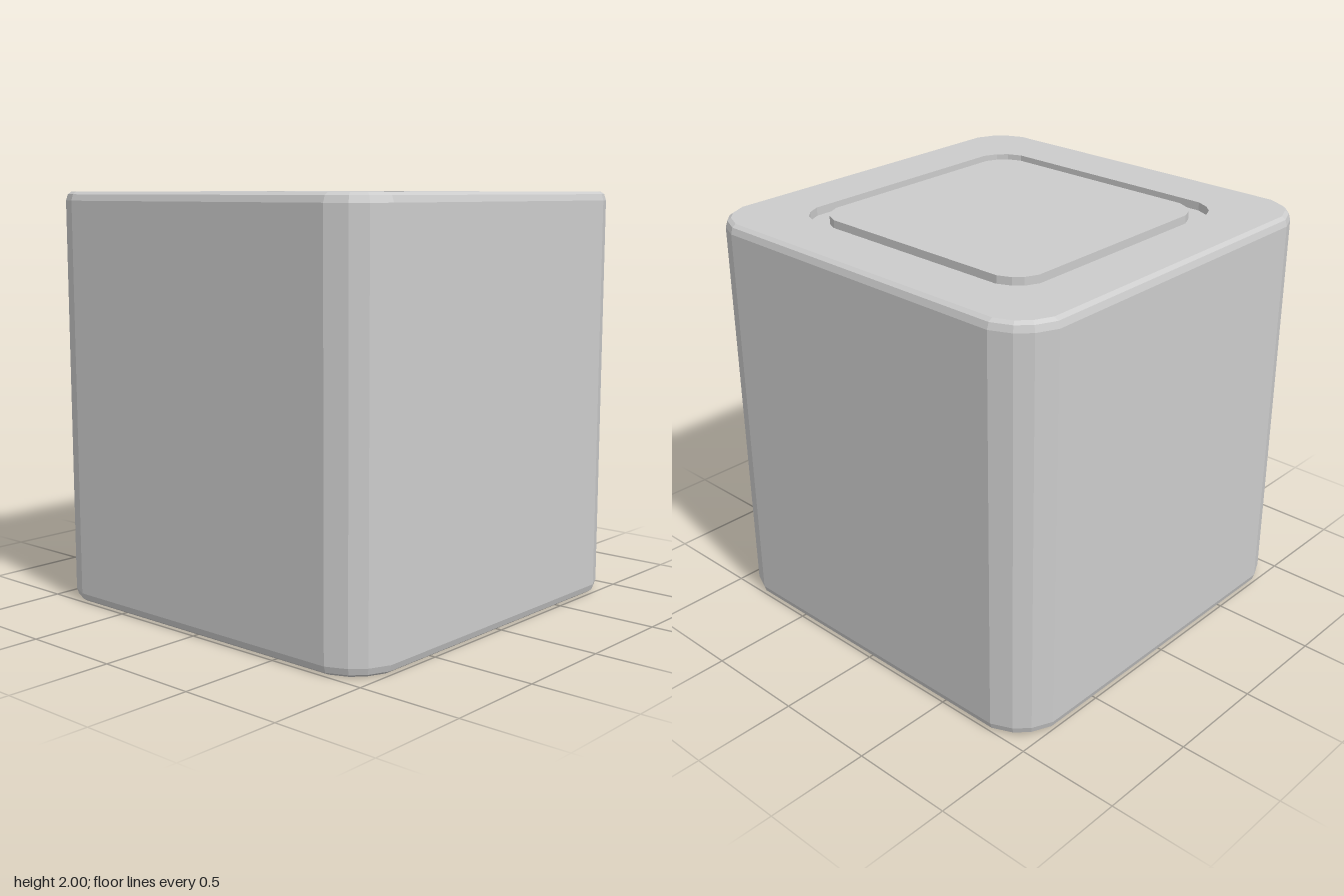
import * as THREE from 'three';

const material = new THREE.MeshStandardMaterial({ color: 0xcccccc, flatShading: true });

// Square ring with three-facet corners, counter-clockwise seen from above
function ring([half, radius, y]) {
  const c = half - radius;
  const corner = [[1, 0], [0.785, 0.485], [0.485, 0.785], [0, 1]];
  const points = [];
  for (let q = 0; q < 4; q++) {
    for (const [u, v] of corner) {
      let x = c + u * radius, z = -(c + v * radius);
      for (let k = 0; k < q; k++) [x, z] = [z, -x];
      points.push([x, y, z]);
    }
  }
  return points;
}

// Skin a list of rings, optionally closing the last one
function loft(name, sections, cap = false) {
  const rings = sections.map(ring);
  const positions = [];
  const n = rings[0].length;
  for (let r = 0; r < rings.length - 1; r++) {
    const a = rings[r], b = rings[r + 1];
    for (let i = 0; i < n; i++) {
      const j = (i + 1) % n;
      positions.push(...a[i], ...a[j], ...b[j], ...a[i], ...b[j], ...b[i]);
    }
  }
  if (cap) {
    const last = rings[rings.length - 1];
    for (let i = 0; i < n; i++) positions.push(...last[i], ...last[(i + 1) % n], 0, last[0][1], 0);
  }
  const geometry = new THREE.BufferGeometry();
  geometry.setAttribute('position', new THREE.Float32BufferAttribute(positions, 3));
  geometry.computeVertexNormals();
  const mesh = new THREE.Mesh(geometry, material);
  mesh.name = name;
  return mesh;
}

// Flat rim, sunken groove and flush centre panel of one end
function makeEnd(name) {
  const floor = 0.96;
  const end = new THREE.Group();
  end.name = name;
  end.add(
    loft('rim', [[0.97, 0.17, 1], [0.705, 0.135, 1]]),
    loft('groove', [[0.705, 0.135, 1], [0.705, 0.135, floor], [0.635, 0.125, floor]]),
    loft('centrePanel', [[0.635, 0.125, floor], [0.635, 0.125, 1]], true),
  );
  end.position.y = 1;
  return end;
}

export function createModel() {
  const model = new THREE.Group();
  model.name = 'roundedCube';

  // Walls with a two-step bevel at each end
  const bevel = [[0.97, 0.17, 0], [0.99, 0.19, 0.013], [1, 0.2, 0.043]];
  const upper = bevel.map(([h, r, y]) => [h, r, 2 - y]).reverse();
  model.add(loft('walls', [...bevel, ...upper]));

  // Matching ends
  const bottom = makeEnd('bottomEnd');
  bottom.rotation.x = Math.PI;
  model.add(makeEnd('topEnd'), bottom);
  return model;
}
